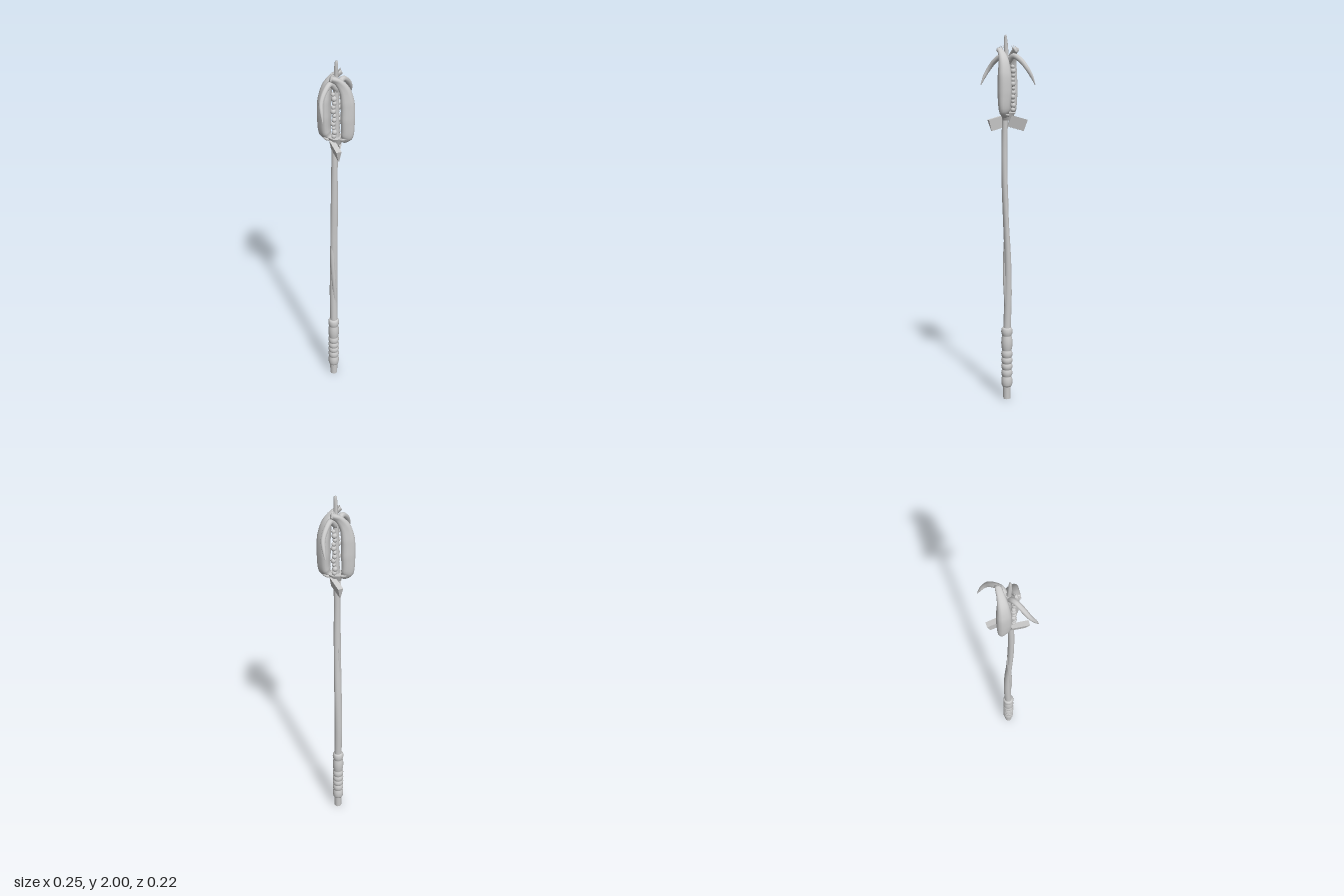
import * as THREE from 'three';

const material = new THREE.MeshStandardMaterial({ color: 0xcccccc, side: THREE.DoubleSide });
const V = (x, y, z) => new THREE.Vector3(x, y, z);
const S = Math.SQRT1_2;
// u points outward along the pod diagonal, v across it
const uv = (u, y, v) => V((u - v) * S, y, (u + v) * S);

function add(parent, name, geometry, x = 0, y = 0, z = 0) {
  const mesh = new THREE.Mesh(geometry, material);
  mesh.name = name;
  mesh.position.set(x, y, z);
  parent.add(mesh);
  return mesh;
}

// Sweep an elliptical (optionally three-cornered) section along a path.
// stations: [point, radiusA, radiusB]; radius A lies along ref
function sweep(stations, ref, sides = 10, rings = 24, corner = 0) {
  const curve = new THREE.CatmullRomCurve3(stations.map(s => s[0]));
  const n = stations.length - 1, pos = [], idx = [];
  for (let i = 0; i <= rings; i++) {
    const t = i / rings, k = Math.min(n - 1, Math.floor(t * n)), f = t * n - k;
    const ra = THREE.MathUtils.lerp(stations[k][1], stations[k + 1][1], f);
    const rb = THREE.MathUtils.lerp(stations[k][2], stations[k + 1][2], f);
    const c = curve.getPoint(t), T = curve.getTangent(t);
    const a = ref.clone().addScaledVector(T, -ref.dot(T)).normalize();
    const b = T.clone().cross(a);
    for (let j = 0; j < sides; j++) {
      const q = j / sides * Math.PI * 2, r = 1 + corner * Math.cos(3 * q);
      const p = c.clone().addScaledVector(a, Math.cos(q) * r * ra).addScaledVector(b, Math.sin(q) * r * rb);
      pos.push(p.x, p.y, p.z);
      if (i < rings) {
        const p0 = i * sides + j, p1 = i * sides + (j + 1) % sides;
        idx.push(p0, p1, p1 + sides, p0, p1 + sides, p0 + sides);
      }
    }
  }
  // end caps
  for (const [end, ring] of [[0, 0], [1, rings * sides]]) {
    const c = curve.getPoint(end), m = pos.length / 3;
    pos.push(c.x, c.y, c.z);
    for (let j = 0; j < sides; j++) {
      const p0 = ring + j, p1 = ring + (j + 1) % sides;
      idx.push(m, end ? p0 : p1, end ? p1 : p0);
    }
  }
  const g = new THREE.BufferGeometry();
  g.setAttribute('position', new THREE.Float32BufferAttribute(pos, 3));
  g.setIndex(idx);
  g.computeVertexNormals();
  return g;
}

// Everything here appears twice, turned half way round the staff
function headHalf() {
  const half = new THREE.Group();

  // Long pod whose top curls over the centre
  add(half, 'pod', sweep([
    [uv(0.035, 1.575, 0), 0.014, 0.014],
    [uv(0.056, 1.61, -0.004), 0.031, 0.030],
    [uv(0.06, 1.70, -0.006), 0.034, 0.038],
    [uv(0.058, 1.79, -0.005), 0.033, 0.036],
    [uv(0.045, 1.86, 0.005), 0.026, 0.028],
    [uv(0.02, 1.905, 0.028), 0.018, 0.018],
    [uv(-0.006, 1.925, 0.054), 0.013, 0.014],
  ], V(S, 0, S), 18, 36, 0.13));

  // Frayed prongs at the curled end
  for (const k of [-1, 0, 1]) {
    const prong = add(half, 'prong', new THREE.ConeGeometry(0.006, 0.04, 5), -0.03 + k * 0.009, 1.932, 0.027 - k * 0.007);
    prong.rotation.set(-0.5, 0, k * 0.3);
  }

  // Downward hooked claw
  add(half, 'claw', sweep([
    [V(0, 1.85, 0.0), 0.014, 0.014],
    [V(-0.04, 1.89, 0.018), 0.015, 0.015],
    [V(-0.08, 1.865, 0.045), 0.014, 0.014],
    [V(-0.107, 1.825, 0.068), 0.012, 0.012],
    [V(-0.115, 1.785, 0.09), 0.009, 0.009],
    [V(-0.117, 1.74, 0.11), 0.002, 0.002],
  ], V(S, 0, S), 8, 20));

  // String of beads between the pods
  for (let i = 0; i < 11; i++) {
    const r = 0.0125 + 0.002 * Math.sin(i * 2.3);
    const p = uv(0.004 * Math.sin(i * 1.7), 1.61 + i * 0.0225, 0.031);
    add(half, 'bead', new THREE.SphereGeometry(r, 10, 8), p.x, p.y, p.z);
  }

  // Binding ring at the foot of the pod
  const foot = uv(0.042, 1.587, -0.002);
  const ring = add(half, 'footRing', new THREE.TorusGeometry(0.022, 0.007, 6, 14), foot.x, foot.y, foot.z);
  ring.rotation.set(Math.PI / 2 - 0.3, 0, 0);

  // Wedge fin below the head, narrow along its lower edge
  const fin = new THREE.BoxGeometry(0.028, 0.062, 0.095);
  const p = fin.attributes.position;
  for (let i = 0; i < p.count; i++) if (p.getY(i) < 0) p.setX(i, p.getX(i) * 0.2 + 0.006);
  const flat = fin.toNonIndexed();
  flat.computeVertexNormals();
  add(half, 'fin', flat, -0.027, 1.54, 0.046).rotation.x = 0.27;
  return half;
}

export function createModel() {
  const staff = new THREE.Group();
  staff.name = 'staff';

  // Slightly crooked wooden shaft
  add(staff, 'shaft', sweep([
    [V(-0.011, 0.38, -0.003), 0.021, 0.021],
    [V(-0.010, 0.60, -0.009), 0.021, 0.022],
    [V(-0.009, 0.80, -0.007), 0.018, 0.022],
    [V(-0.011, 1.00, 0.002), 0.015, 0.021],
    [V(-0.012, 1.20, 0.009), 0.016, 0.020],
    [V(-0.012, 1.40, 0.011), 0.016, 0.017],
    [V(-0.008, 1.59, 0.008), 0.016, 0.017],
  ], V(0, 0, 1), 12, 48));

  // Second strand winding round the shaft
  const strand = [];
  for (let i = 0; i <= 8; i++) {
    const t = i / 8, a = 0.4 + t * 4.2, r = 0.011;
    const w = 0.004 + 0.009 * Math.sin(Math.PI * t);
    strand.push([V(-0.01 + r * Math.cos(a), 0.42 + t * 0.72, -0.008 + 0.012 * t + r * Math.sin(a)), w, w]);
  }
  add(staff, 'strand', sweep(strand, V(0, 0, 1), 8, 40));

  // Wrapped grip with swelling bands
  const bands = [0.07, 0.13, 0.17, 0.205, 0.24, 0.28, 0.365, 0.412];
  const profile = [new THREE.Vector2(0.018, 0.07)];
  for (let i = 0; i < bands.length - 1; i++) {
    const a = bands[i], h = bands[i + 1] - a;
    for (const [f, r] of [[0.03, 0.026], [0.2, 0.03], [0.5, 0.0315], [0.8, 0.03], [0.97, 0.026]])
      profile.push(new THREE.Vector2(r, a + h * f));
  }
  profile.push(new THREE.Vector2(0.018, 0.412));
  add(staff, 'grip', new THREE.LatheGeometry(profile, 16), -0.012, 0, -0.003);

  // Butt of the staff
  add(staff, 'butt', new THREE.CylinderGeometry(0.022, 0.021, 0.08, 10), -0.012, 0.04, -0.003);

  // Head: collar, core and two mirrored halves
  const head = new THREE.Group();
  head.name = 'head';
  head.position.set(0.002, 0, -0.002);
  staff.add(head);
  add(head, 'collar', new THREE.CylinderGeometry(0.042, 0.026, 0.04, 8), 0, 1.575, 0);
  add(head, 'core', new THREE.CylinderGeometry(0.014, 0.018, 0.32, 10), 0, 1.73, 0);
  for (const side of [0, 1]) {
    const half = headHalf();
    half.name = side ? 'rearHalf' : 'frontHalf';
    half.rotation.y = side * Math.PI;
    head.add(half);
  }

  // Chisel-shaped spike at the very top
  add(head, 'spike', sweep([
    [V(0, 1.84, 0.002), 0.014, 0.014],
    [V(-0.002, 1.90, 0.006), 0.013, 0.012],
    [V(-0.003, 1.96, 0.009), 0.011, 0.01],
    [V(-0.002, 2.0, 0.011), 0.006, 0.008],
  ], V(0, 0, 1), 6, 9));
  return staff;
}
